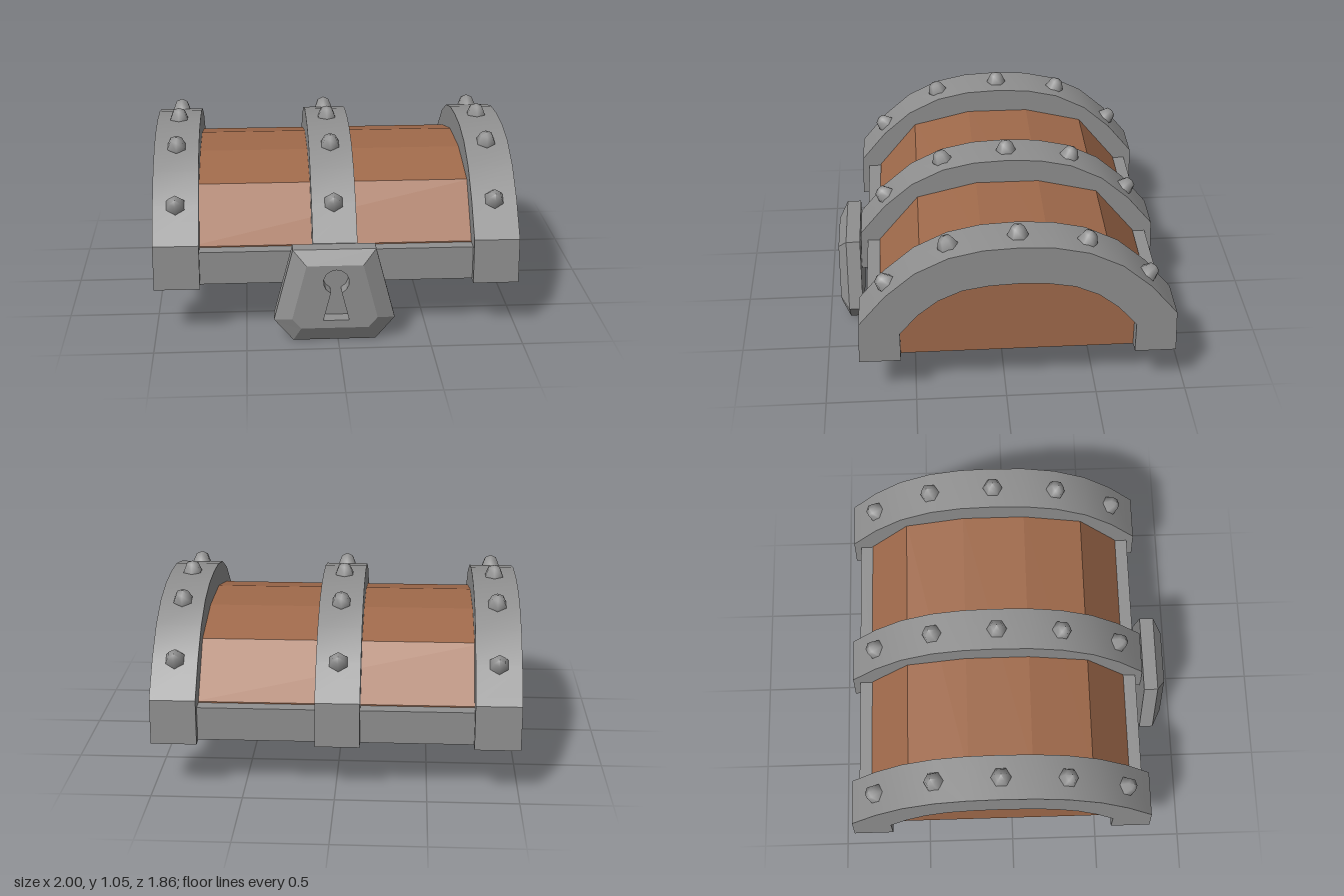
import * as THREE from 'three';
import { toCreasedNormals } from 'three/addons/utils/BufferGeometryUtils.js';

const CZ = -0.063; // middle of the lid in depth

const metal = new THREE.MeshStandardMaterial({ color: 0x909090 });
const wood = new THREE.MeshStandardMaterial({ color: 0xa06a4b });

const toShape = (pts) => new THREE.Shape(pts.map(([x, y]) => new THREE.Vector2(x, y)));
const mirrored = (half) => [...half, ...half.filter((p) => p[0] > 0).reverse().map(([x, y]) => [-x, y])];

function addMesh(parent, name, geometry, material) {
  const mesh = new THREE.Mesh(geometry, material);
  mesh.name = name;
  parent.add(mesh);
  return mesh;
}

// Extrudes a depth/height profile across the width from x0 to x1
function acrossX(shape, x0, x1) {
  const g = new THREE.ExtrudeGeometry(shape, { depth: x1 - x0, bevelEnabled: false });
  return g.rotateY(Math.PI / 2).translate(x0, 0, CZ);
}

// Flat-shaded walls joining loops of [x, y] points placed at given z
function loft(rings) {
  const pos = [], index = [], n = rings[0].pts.length;
  rings.forEach(({ pts, z }) => pts.forEach(([x, y]) => pos.push(x, y, z)));
  for (let r = 0; r < rings.length - 1; r++) {
    for (let i = 0; i < n; i++) {
      const a = r * n + i, b = r * n + (i + 1) % n;
      index.push(a, b, b + n, a, b + n, a + n);
    }
  }
  const g = new THREE.BufferGeometry();
  g.setAttribute('position', new THREE.Float32BufferAttribute(pos, 3));
  g.setIndex(index);
  return toCreasedNormals(g, 0.4);
}

// Hollow wooden lid: an arched shell closed by two thick ends
function buildLid() {
  const lid = new THREE.Group();
  lid.name = 'woodenLid';
  const outer = mirrored([[0.748, 0.275], [0.748, 0.483], [0.52, 0.765], [0.18, 0.848]]);
  const inner = mirrored([[0.62, 0.275], [0.62, 0.465], [0.45, 0.65], [0.13, 0.755]]);
  const [left, right] = [0.77, -0.81];
  addMesh(lid, 'lidShell', acrossX(toShape([...outer, ...inner.reverse()]), right, left), wood);
  addMesh(lid, 'leftLidEnd', acrossX(toShape(outer), left, 0.928), wood);
  addMesh(lid, 'rightLidEnd', acrossX(toShape(outer), -0.933, right), wood);
  return lid;
}

// Arched metal band with its row of rivets
function buildBand(x0, x1) {
  const band = new THREE.Group();
  band.name = 'metalBand';
  const outer = mirrored([[0.867, 0.28], [0.857, 0.53], [0.71, 0.71], [0.55, 0.85], [0.37, 0.94], [0.19, 0.98], [0, 0.99]]);
  const inner = mirrored([[0.64, 0.28], [0.64, 0.46], [0.54, 0.58], [0.43, 0.67], [0.3, 0.73], [0.16, 0.755], [0, 0.763]]);
  const shape = toShape([...outer, ...inner.reverse()]);
  addMesh(band, 'bandArch', toCreasedNormals(acrossX(shape, x0, x1), 0.5), metal);

  const profile = [[0, -0.02], [0.06, -0.02], [0.056, 0.005], [0.036, 0.05], [0, 0.064]];
  const rivetGeo = new THREE.LatheGeometry(profile.map(([x, y]) => new THREE.Vector2(x, y)), 6);
  // depth, height and tilt of each rivet
  const spots = [[0, 0.99, 0], [0.37, 0.937, 0.3], [0.705, 0.71, 0.76]];
  for (const [z, y, tilt] of spots) {
    for (const s of z ? [-1, 1] : [1]) {
      const rivet = addMesh(band, 'rivet', rivetGeo, metal);
      rivet.position.set((x0 + x1) / 2, y, CZ + s * z);
      rivet.rotation.x = s * tilt;
    }
  }
  return band;
}

// Bevelled lock plate with a recessed keyhole
function buildLock() {
  const lock = new THREE.Group();
  lock.name = 'lock';
  const base = [[-0.225, 0], [0.225, 0], [0.33, 0.125], [0.225, 0.53], [-0.225, 0.53], [-0.33, 0.125]];
  const face = [[-0.183, 0.09], [0.183, 0.09], [0.232, 0.147], [0.153, 0.455], [-0.153, 0.455], [-0.232, 0.147]];
  const keyhole = [[-0.063, 0.135], [0.077, 0.135]];
  for (let i = 0; i <= 12; i++) {
    const a = THREE.MathUtils.degToRad(-65 + (310 * i) / 12);
    keyhole.push([0.007 + 0.07 * Math.cos(a), 0.36 + 0.07 * Math.sin(a)]);
  }
  addMesh(lock, 'lockSides', loft([{ pts: base, z: 0.8 }, { pts: base, z: 0.88 }, { pts: face, z: 0.93 }]), metal);
  const front = toShape(face);
  front.holes.push(toShape(keyhole));
  addMesh(lock, 'lockFace', new THREE.ShapeGeometry(front).translate(0, 0, 0.93), metal);
  addMesh(lock, 'lockBack', new THREE.ShapeGeometry(toShape(base)).rotateY(Math.PI).translate(0, 0, 0.8), metal);
  addMesh(lock, 'keyholeWalls', loft([{ pts: keyhole, z: 0.93 }, { pts: keyhole, z: 0.85 }]), metal);
  addMesh(lock, 'keyholeFloor', new THREE.ShapeGeometry(toShape(keyhole)).translate(0, 0, 0.85), metal);
  lock.position.x = -0.02;
  return lock;
}

export function createModel() {
  const model = new THREE.Group();
  model.name = 'chestLid';
  model.add(buildLid());
  for (const [x0, x1] of [[-1, -0.75], [-0.133, 0.11], [0.75, 1]]) model.add(buildBand(x0, x1));

  // Straight metal rims along the front and back edges
  for (const s of [-1, 1]) {
    const rim = addMesh(model, s > 0 ? 'frontRim' : 'backRim', new THREE.BoxGeometry(1.56, 0.187, 0.14), metal);
    rim.position.set(0, 0.383, CZ + s * 0.75);
  }
  model.add(buildLock());
  return model;
}
